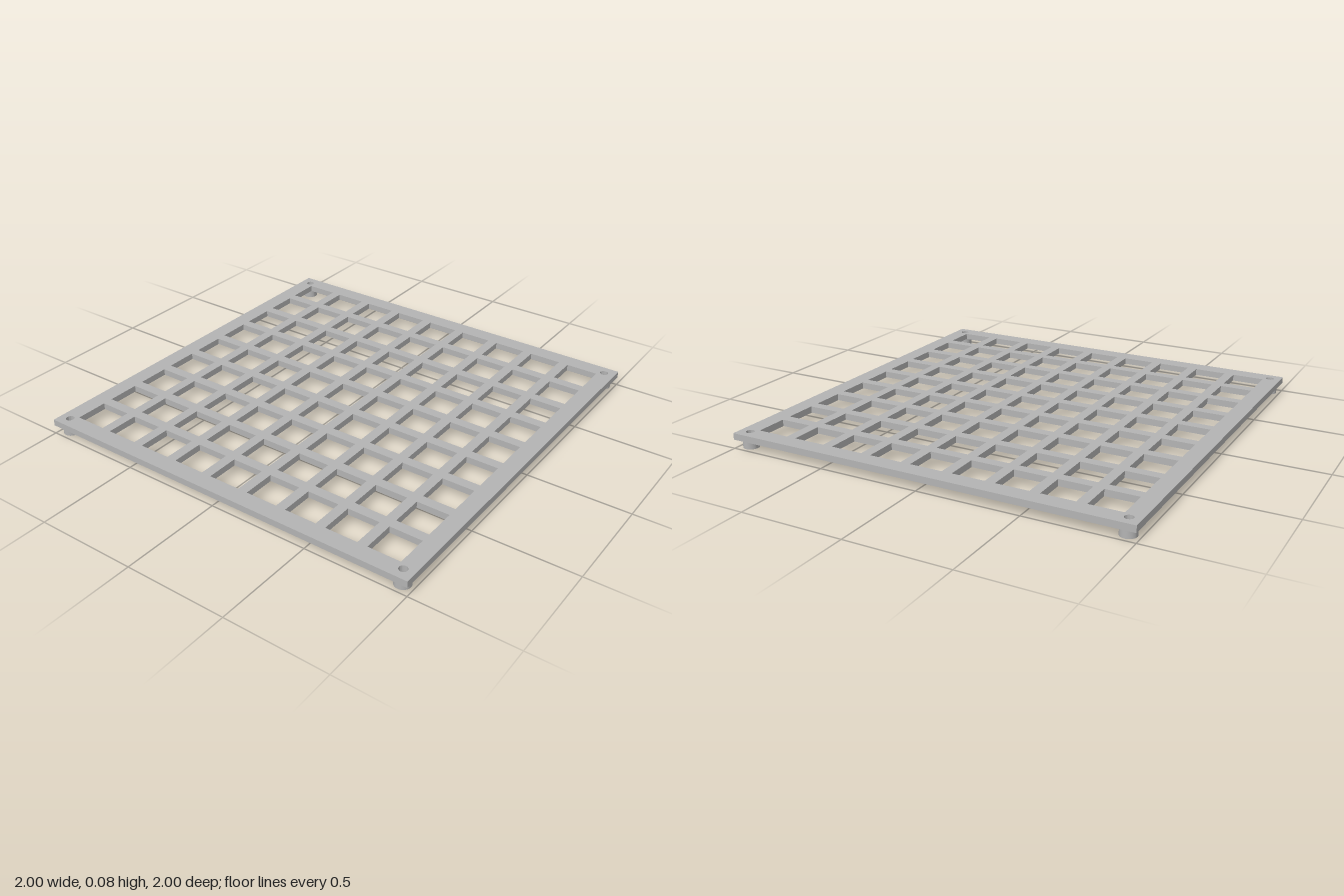
import * as THREE from 'three';
import { toCreasedNormals } from 'three/addons/utils/BufferGeometryUtils.js';

const PLATE_BOTTOM = 0.043, PLATE_TOP = 0.075;
const CELLS = 9, PITCH = 0.209, OPENING = 0.16;
const FOOT_OFFSET = 0.946, FOOT_RADIUS = 0.038, BORE_RADIUS = 0.02;

// Traces a square or a circle onto a shape or hole path
function square(path, x, y, size) {
  const h = size / 2;
  path.moveTo(x - h, y - h).lineTo(x + h, y - h).lineTo(x + h, y + h).lineTo(x - h, y + h).closePath();
  return path;
}
const circle = (path, x, y, r) => path.absarc(x, y, r, 0, Math.PI * 2, false);

// Extrudes a flat outline upwards from y0 to y1
function slab(shape, y0, y1) {
  const geometry = new THREE.ExtrudeGeometry(shape, { depth: y1 - y0, bevelEnabled: false, curveSegments: 16 });
  geometry.rotateX(-Math.PI / 2).translate(0, y0, 0);
  return toCreasedNormals(geometry, Math.PI / 5);
}

export function createModel() {
  const model = new THREE.Group();
  model.name = 'gridPanel';
  const grey = new THREE.MeshStandardMaterial({ name: 'grey', color: 0xb3b3b3 });

  const corners = [];
  for (const x of [-1, 1]) for (const z of [-1, 1]) corners.push([x * FOOT_OFFSET, z * FOOT_OFFSET]);

  // Plate with a grid of square openings and a screw hole in each corner
  const outline = square(new THREE.Shape(), 0, 0, 2);
  const middle = (CELLS - 1) / 2;
  for (let i = 0; i < CELLS; i++) {
    for (let j = 0; j < CELLS; j++) {
      outline.holes.push(square(new THREE.Path(), (i - middle) * PITCH, (j - middle) * PITCH, OPENING));
    }
  }
  for (const [x, z] of corners) outline.holes.push(circle(new THREE.Path(), x, z, BORE_RADIUS));
  const plate = new THREE.Mesh(slab(outline, PLATE_BOTTOM, PLATE_TOP), grey);
  plate.name = 'gridPlate';
  model.add(plate);

  // Hollow round standoffs beneath the corner holes
  const ring = circle(new THREE.Shape(), 0, 0, FOOT_RADIUS);
  ring.holes.push(circle(new THREE.Path(), 0, 0, BORE_RADIUS));
  const footGeometry = slab(ring, 0, PLATE_BOTTOM);
  for (const [x, z] of corners) {
    const foot = new THREE.Mesh(footGeometry, grey);
    foot.name = (z > 0 ? 'front' : 'back') + (x > 0 ? 'Left' : 'Right') + 'Foot';
    foot.position.set(x, 0, z);
    model.add(foot);
  }
  return model;
}
